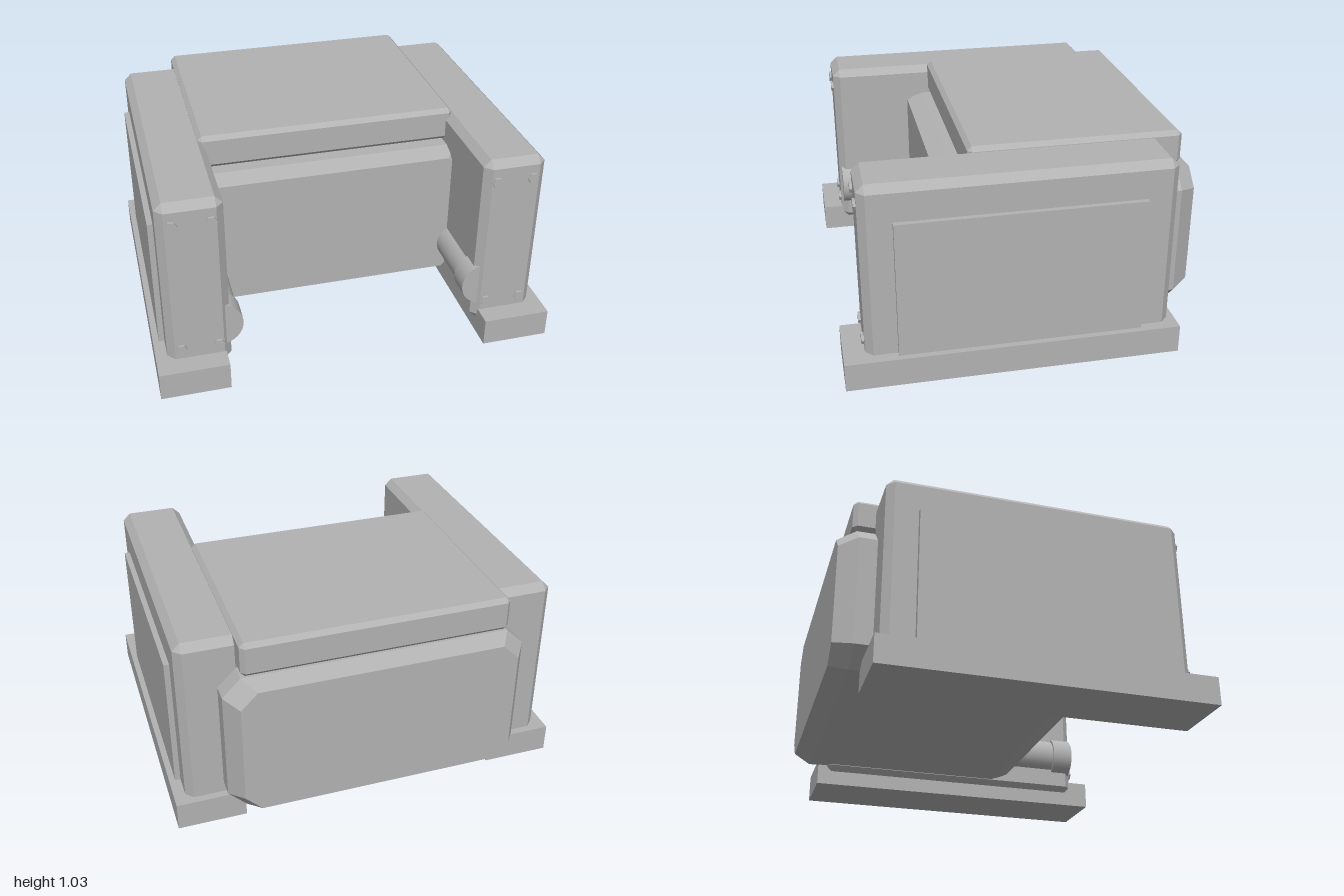
import * as THREE from 'three';
import { ConvexGeometry } from 'three/addons/geometries/ConvexGeometry.js';

const grey = new THREE.MeshStandardMaterial({ color: 0xb2b2b2 });
grey.name = 'plain grey';

function add(parent, name, geometry, x = 0, y = 0, z = 0) {
  const mesh = new THREE.Mesh(geometry, grey);
  mesh.name = name;
  mesh.position.set(x, y, z);
  parent.add(mesh);
  return mesh;
}

// Box with all twelve edges cut at 45 degrees
function chamferBox(w, h, d, c) {
  const points = [];
  for (const sx of [-0.5, 0.5]) for (const sy of [-0.5, 0.5]) for (const sz of [-0.5, 0.5]) {
    for (let axis = 0; axis < 3; axis++) {
      const size = [w, h, d].map((s, i) => (i === axis ? s : s - 2 * c));
      points.push(new THREE.Vector3(sx * size[0], sy * size[1], sz * size[2]));
    }
  }
  return new ConvexGeometry(points);
}

// Octagonal prism along z whose ends taper in
function taperedBlock(hw, hh, c, hd, taperDepth, endScale) {
  const points = [];
  for (const [z, s] of [[hd, endScale], [hd - taperDepth, 1]]) {
    for (const sx of [-1, 1]) for (const sy of [-1, 1]) for (const sz of [-1, 1]) {
      points.push(new THREE.Vector3(sx * hw * s, sy * (hh - c) * s, sz * z));
      points.push(new THREE.Vector3(sx * (hw - c) * s, sy * hh * s, sz * z));
    }
  }
  return new ConvexGeometry(points);
}

// Cylinder lying along z
function rod(radius, length, sides) {
  return new THREE.CylinderGeometry(radius, radius, length, sides).rotateX(Math.PI / 2);
}

export function createModel() {
  const model = new THREE.Group();
  model.name = 'model';

  // Central body and the slab above it
  add(model, 'body', taperedBlock(0.755, 0.37, 0.09, 0.627, 0.09, 0.914), 0, 0.48, -0.262);
  add(model, 'topSlab', chamferBox(1.33, 0.175, 1.06, 0.022), 0, 0.9475, -0.29);

  for (const [side, s] of [['left', 1], ['right', -1]]) {
    const group = new THREE.Group();
    group.name = side + 'Side';
    model.add(group);

    add(group, 'foot', new THREE.BoxGeometry(0.343, 0.143, 1.635), s * 0.8285, 0.0715, 0.0705);
    add(group, 'sideBlock', chamferBox(0.315, 0.94, 1.493, 0.037), s * 0.7855, 0.54, 0.0375);
    add(group, 'sidePanel', new THREE.BoxGeometry(0.05, 0.69, 1.185), s * 0.945, 0.485, 0.0375);

    // Piston on the inner face
    add(group, 'pistonRod', rod(0.105, 0.5, 32), s * 0.682, 0.295, 0.45);
    add(group, 'pistonCap', rod(0.118, 0.113, 32), s * 0.682, 0.295, 0.7135);

    // Hex bolts on the front face
    for (const x of [0.69, 0.873]) for (const y of [0.2, 0.903]) {
      const bolt = rod(0.028, 0.03, 6).rotateZ(Math.PI / 6).toNonIndexed();
      bolt.computeVertexNormals();
      add(group, 'bolt', bolt, s * x, y, 0.782);
    }
  }
  return model;
}
